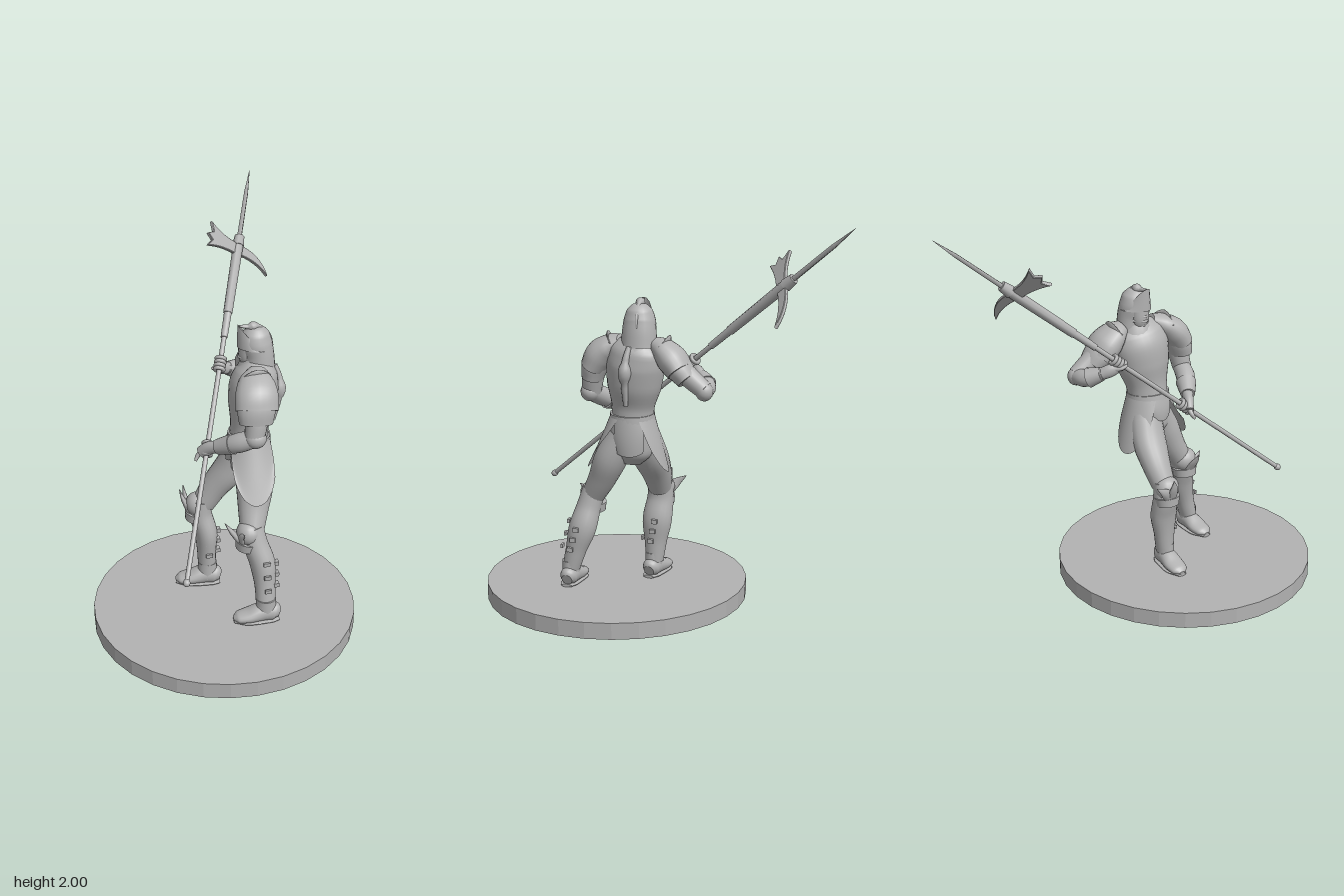
import * as THREE from 'three';

const V = (x, y, z) => new THREE.Vector3(x, y, z);
const FRONT = V(-0.97, 0, -0.23), UP = V(0, 1, 0), SIDE = V(0, 0, 1), FWD = V(-1, 0, 0);

export function createModel() {
  const root = new THREE.Group();
  const steel = new THREE.MeshStandardMaterial({ color: 0xb2b2b2, side: THREE.DoubleSide });
  const add = (name, geo, parent = root) => {
    const m = new THREE.Mesh(geo, steel);
    m.name = name;
    parent.add(m);
    return m;
  };

  // Smooth skin over elliptical rows [x, y, z, radius along ref, radius across]
  function loft(name, rows, ref = FWD, parent = root, seg = 20) {
    const path = new THREE.CatmullRomCurve3(rows.map(r => V(r[0], r[1], r[2])));
    const size = new THREE.CatmullRomCurve3(rows.map(r => V(r[3], r[4] ?? r[3], 0)));
    const n = (rows.length - 1) * 5, pos = [], idx = [];
    const ring = (i) => {
      const t = path.getTangent(i / n), c = path.getPoint(i / n), s = size.getPoint(i / n);
      const u = ref.clone().addScaledVector(t, -ref.dot(t)).normalize(), v = t.clone().cross(u);
      for (let j = 0; j < seg; j++) {
        const a = j / seg * Math.PI * 2;
        const p = c.clone().addScaledVector(u, s.x * Math.cos(a)).addScaledVector(v, s.y * Math.sin(a));
        pos.push(p.x, p.y, p.z);
      }
      return c;
    };
    for (let i = 0; i <= n; i++) ring(i);
    for (let i = 0; i < n; i++) for (let j = 0; j < seg; j++) {
      const a = i * seg + j, b = i * seg + (j + 1) % seg;
      idx.push(a, b, b + seg, a, b + seg, a + seg);
    }
    // separate end caps keep the rims crisp
    for (const end of [0, n]) {
      const k = pos.length / 3, c = ring(end);
      pos.push(c.x, c.y, c.z);
      for (let j = 0; j < seg; j++) {
        const a = k + j, b = k + (j + 1) % seg;
        end ? idx.push(a, b, k + seg) : idx.push(b, a, k + seg);
      }
    }
    const g = new THREE.BufferGeometry();
    g.setAttribute('position', new THREE.Float32BufferAttribute(pos, 3));
    g.setIndex(idx);
    g.computeVertexNormals();
    return add(name, g, parent);
  }

  const ball = (name, p, s, parent = root) => {
    const m = add(name, new THREE.SphereGeometry(1, 18, 12), parent);
    m.position.set(...p);
    m.scale.set(...s);
    return m;
  };

  // Curved armour plate: f(u, v) gives a point, u across and v down
  function plate(name, f, nu = 14, nv = 8) {
    const g = new THREE.PlaneGeometry(1, 1, nu, nv), p = g.attributes.position, uv = g.attributes.uv;
    for (let i = 0; i < p.count; i++) p.setXYZ(i, ...f(uv.getX(i), 1 - uv.getY(i)));
    g.computeVertexNormals();
    return add(name, g);
  }

  // Base disc with faceted rim
  const disc = new THREE.CylinderGeometry(0.685, 0.685, 0.085, 32).toNonIndexed();
  disc.computeVertexNormals();
  add('base', disc).position.set(0, 0.0425, 0.28);

  // Torso
  loft('cuirass', [[.155, .98, .155, .1, .105], [.16, 1.06, .15, .098, .112], [.175, 1.17, .14, .12, .142],
    [.185, 1.27, .13, .125, .152], [.2, 1.35, .12, .105, .14], [.205, 1.41, .11, .06, .07]], FRONT, root, 28);
  loft('belt', [[.155, .985, .155, .112, .116], [.157, 1.02, .155, .108, .114]], FRONT, root, 28);
  loft('pelvis', [[.15, .76, .18, .05, .07], [.155, .83, .17, .095, .12], [.155, .92, .16, .1, .115], [.155, 1, .155, .1, .105]]);
  loft('backRidge', [[.28, 1.08, .16, .012], [.305, 1.2, .16, .018], [.31, 1.3, .155, .018], [.29, 1.38, .14, .012]], SIDE);
  loft('gorget', [[.2, 1.35, .11, .1, .1], [.2, 1.41, .107, .075, .075], [.195, 1.45, .105, .06, .06]]);

  // Skirt plates hanging from the belt: from, to (degrees), bottom, flare x, flare z, rounding
  for (const [name, a0, a1, bottom, fx, fz, curve] of [
    ['rearSkirt', -38, 38, .81, -.005, 0, .02], ['frontSkirt', 150, 210, .88, -.005, 0, .03],
    ['leftTasset', 28, 158, .72, -.005, .115, .12], ['rightTasset', 202, 332, .715, -.01, -.065, .12]]) {
    plate(name, (u, v) => {
      const a = (a0 + (a1 - a0) * u) * Math.PI / 180, w = (2 * u - 1) ** 2;
      const f = v * .7 + v * v * .3, out = 1 + .08 * Math.sin(v * 2.6);
      return [.155 + .11 * Math.cos(a) * out + fx * f, 1.0 - (1 - bottom - curve * w) * v,
        .155 + .115 * Math.sin(a) * out + fz * f];
    });
  }

  // Helmet with raised visor, face guard and neck guard
  loft('helmet', [[.215, 1.37, .105, .082, .092], [.212, 1.44, .105, .078, .086], [.2, 1.5, .105, .08, .08],
    [.2, 1.55, .105, .066, .064], [.2, 1.578, .105, .036, .034], [.2, 1.585, .105, .008, .008]], FWD, root, 24);
  plate('visor', (u, v) => {
    const a = Math.PI * (.42 + 1.16 * u), c = Math.max(0, -Math.cos(a));
    return [.2 + (.084 + .012 * c ** 6) * Math.cos(a), 1.5 + (.1 * c ** 1.5) * (1 - v) - .02 * v,
      .105 + .084 * Math.sin(a) * (.75 + .25 * v)];
  });
  loft('helmetCrest', [[.115, 1.592, .105, .006], [.16, 1.585, .105, .012], [.21, 1.582, .105, .012], [.265, 1.53, .105, .01], [.285, 1.47, .105, .005]], SIDE, root, 10);
  loft('face', [[.165, 1.39, .1, .035, .04], [.158, 1.43, .1, .045, .05], [.16, 1.49, .1, .045, .055]]);
  for (const [y, x] of [[1.405, .128], [1.43, .116], [1.455, .118]])
    loft('faceBar', [[x + .04, y, .15, .008], [x, y - .005, .1, .009], [x + .04, y, .05, .008]], UP, root, 8);

  // Legs
  loft('leftThigh', [[.16, .9, .2, .09, .08], [.16, .78, .265, .095, .085], [.14, .66, .32, .078, .072], [.12, .56, .375, .06, .06]]);
  loft('leftShin', [[.12, .59, .37, .06, .06], [.135, .5, .395, .064, .064], [.165, .4, .42, .066, .072], [.172, .28, .455, .054, .055], [.17, .17, .485, .05, .045]]);
  loft('rightThigh', [[.13, .9, .11, .09, .08], [.075, .78, .085, .095, .08], [0, .67, .065, .08, .07], [-.06, .57, .06, .062, .062]], SIDE);
  loft('rightShin', [[-.07, .6, .06, .058, .065], [-.075, .51, .06, .06, .07], [-.05, .4, .072, .06, .078], [-.047, .28, .08, .05, .06], [-.045, .17, .085, .048, .046]]);

  // Knee guards, wing spikes, buckles and boots
  for (const [side, k, tip, wing, back] of [
    ['left', [.1, .565, .38], [-.02, .63, .37], [.06, .6, .46], [.23, .44, .024]],
    ['right', [-.09, .565, .055], [-.178, .645, .02], [-.14, .615, -.065], [.012, .075, .015]]]) {
    ball(side + 'KneeGuard', k, [.062, .065, .068]);
    loft(side + 'KneeRim', [[k[0] - .005, k[1] - .09, k[2], .06, .064], [k[0], k[1] - .045, k[2], .066, .07]]);
    for (const t of [tip, wing])
      loft(side + 'KneeSpike', [[k[0] - .03, k[1] - .06, k[2], .035, .02],
        [(k[0] + t[0]) / 2 - .025, (k[1] + t[1]) / 2 - .02, (k[2] + t[2]) / 2, .026, .013], [...t, .002, .002]], SIDE, root, 10);
    for (let i = 0; i < 3; i++) {
      const strap = add(side + 'CalfBuckle', new THREE.BoxGeometry(.03, .022, .03));
      strap.position.set(back[0] - .003 * i, .4 - .055 * i, back[1] + back[2] * i * .7);
      const plateBox = add(side + 'CalfClasp', new THREE.BoxGeometry(.035, .02, .012));
      plateBox.position.set(back[0] - .06, .43 - .07 * i, back[1] + .052 + back[2] * i * .8);
    }
  }
  const boot = (name, x, z, yaw) => {
    const g = new THREE.Group();
    g.name = name;
    g.position.set(x, .087, z);
    g.rotation.y = yaw;
    root.add(g);
    loft('foot', [[.065, .04, 0, .03, .028], [.04, .05, 0, .05, .045], [-.02, .05, 0, .05, .048],
      [-.09, .034, 0, .034, .055], [-.145, .025, 0, .024, .045], [-.17, .02, 0, .008, .015]], UP, g);
    loft('ankle', [[0, .04, 0, .052, .046], [0, .13, 0, .05, .045]], FWD, g);
    loft('sole', [[.067, .008, 0, .008, .03], [.03, .008, 0, .008, .047], [-.09, .008, 0, .008, .058], [-.168, .008, 0, .008, .025]], UP, g);
  };
  boot('leftBoot', .172, .485, -.1);
  boot('rightBoot', -.045, .09, -.22);

  // Shoulder plates, overlapping
  loft('leftPauldron', [[.185, 1.39, .2, .045, .035], [.165, 1.36, .26, .09, .06], [.15, 1.31, .32, .108, .075], [.143, 1.25, .355, .108, .066]]);
  loft('leftShoulderLame', [[.15, 1.3, .33, .09, .07], [.14, 1.25, .35, .095, .068], [.135, 1.185, .365, .085, .055]]);
  loft('rightPauldron', [[.215, 1.39, .03, .045, .035], [.225, 1.36, -.02, .085, .06], [.24, 1.31, -.07, .1, .075], [.255, 1.26, -.11, .098, .066]]);
  loft('rightShoulderLame', [[.24, 1.3, -.07, .085, .07], [.25, 1.265, -.11, .085, .066], [.262, 1.22, -.15, .072, .055]]);
  for (const [name, rows] of [
    ['leftPauldronFlange', [[.08, 1.36, .26, .006, .02], [.16, 1.405, .28, .006, .03], [.23, 1.37, .25, .006, .02]]],
    ['rightPauldronFlange', [[.16, 1.36, -.03, .006, .02], [.22, 1.405, -.05, .006, .03], [.29, 1.37, -.01, .006, .02]]]])
    loft(name, rows, SIDE, root, 10);

  // Arms
  loft('leftUpperArm', [[.155, 1.3, .33, .055], [.14, 1.2, .36, .056], [.125, 1.11, .375, .05]]);
  ball('leftElbowGuard', [.13, 1.11, .38], [.055, .05, .05]);
  loft('leftForearm', [[.13, 1.11, .375, .045], [.06, 1.075, .34, .05], [-.03, 1.02, .265, .034]], UP);
  loft('leftGauntletCuff', [[.03, 1.055, .315, .054], [-.035, 1.02, .262, .038]], UP);
  loft('leftPalm', [[-.025, 1.025, .268, .03], [-.07, 1.0, .232, .034, .026], [-.105, .965, .205, .03, .022]], UP);
  loft('rightUpperArm', [[.225, 1.32, -.06, .055], [.26, 1.24, -.15, .052], [.28, 1.175, -.235, .045]]);
  ball('rightElbowGuard', [.28, 1.17, -.235], [.045, .048, .045]);
  loft('rightForearm', [[.28, 1.17, -.235, .04], [.21, 1.18, -.235, .046], [.125, 1.215, -.19, .032]], UP);
  loft('rightGauntletCuff', [[.19, 1.185, -.228, .052], [.13, 1.212, -.195, .036]], UP);
  loft('rightPalm', [[.135, 1.21, -.196, .03], [.1, 1.23, -.17, .034, .026], [.07, 1.245, -.14, .024, .02]], UP);

  // Polearm, built along its own y axis from the butt
  const butt = V(-.3, .53, .715), tipPoint = V(.445, 2, -.96), L = butt.distanceTo(tipPoint);
  const d = tipPoint.clone().sub(butt).normalize();
  const e = V(-.82, .54, .2).addScaledVector(d, -V(-.82, .54, .2).dot(d)).normalize();
  const pole = new THREE.Group();
  pole.name = 'polearm';
  pole.quaternion.setFromRotationMatrix(new THREE.Matrix4().makeBasis(e, d, e.clone().cross(d)));
  pole.position.copy(butt);
  root.add(pole);
  const shaft = (name, t0, t1, r0, r1, seg = 14) =>
    add(name, new THREE.CylinderGeometry(r1, r0, (t1 - t0) * L, seg), pole).position.set(0, (t0 + t1) / 2 * L, 0);
  shaft('shaft', .01, .58, .012, .013);
  ball('buttCap', [0, .02, 0], [.018, .02, .018], pole);
  shaft('socketLower', .57, .63, .018, .02);
  shaft('socket', .63, .815, .024, .028, 8);
  shaft('socketCollar', .8, .825, .032, .026, 8);
  shaft('spearBlade', .82, .94, .016, .014, 4);
  shaft('spearPoint', .94, 1, .014, .0008, 4);

  const blade = (name, draw) => {
    const s = new THREE.Shape();
    draw(s);
    const g = new THREE.ExtrudeGeometry(s, { depth: .014, bevelEnabled: true, bevelSize: .003, bevelThickness: .003, bevelSegments: 1, curveSegments: 8 });
    add(name, g, pole).position.set(0, .79 * L, -.007);
  };
  blade('forkedBlade', s => {
    s.moveTo(0, -.03);
    s.quadraticCurveTo(.11, -.025, .2, -.065);
    s.lineTo(.175, -.025);
    s.lineTo(.21, 0);
    s.lineTo(.175, .022);
    s.lineTo(.2, .07);
    s.quadraticCurveTo(.11, .02, 0, .03);
  });
  blade('hook', s => {
    s.moveTo(0, .026);
    s.quadraticCurveTo(-.15, .04, -.22, -.055);
    s.quadraticCurveTo(-.13, -.005, 0, -.026);
  });

  // Fingers closed around the shaft
  for (const [name, t] of [['leftFinger', .306], ['rightFinger', .505]])
    for (let i = 0; i < 4; i++) {
      const f = add(name, new THREE.TorusGeometry(.023, .0105, 8, 16), pole);
      f.rotation.x = Math.PI / 2;
      f.position.y = t * L + (i - 1.5) * .02;
    }
  loft('leftFingertip', [[-.09, .98, .21, .014], [-.12, .95, .205, .012], [-.135, .925, .215, .007]], SIDE, root, 10);
  loft('rightThumb', [[.08, 1.24, -.16, .013], [.045, 1.25, -.135, .011], [.03, 1.265, -.11, .007]], UP, root, 10);
  return root;
}
